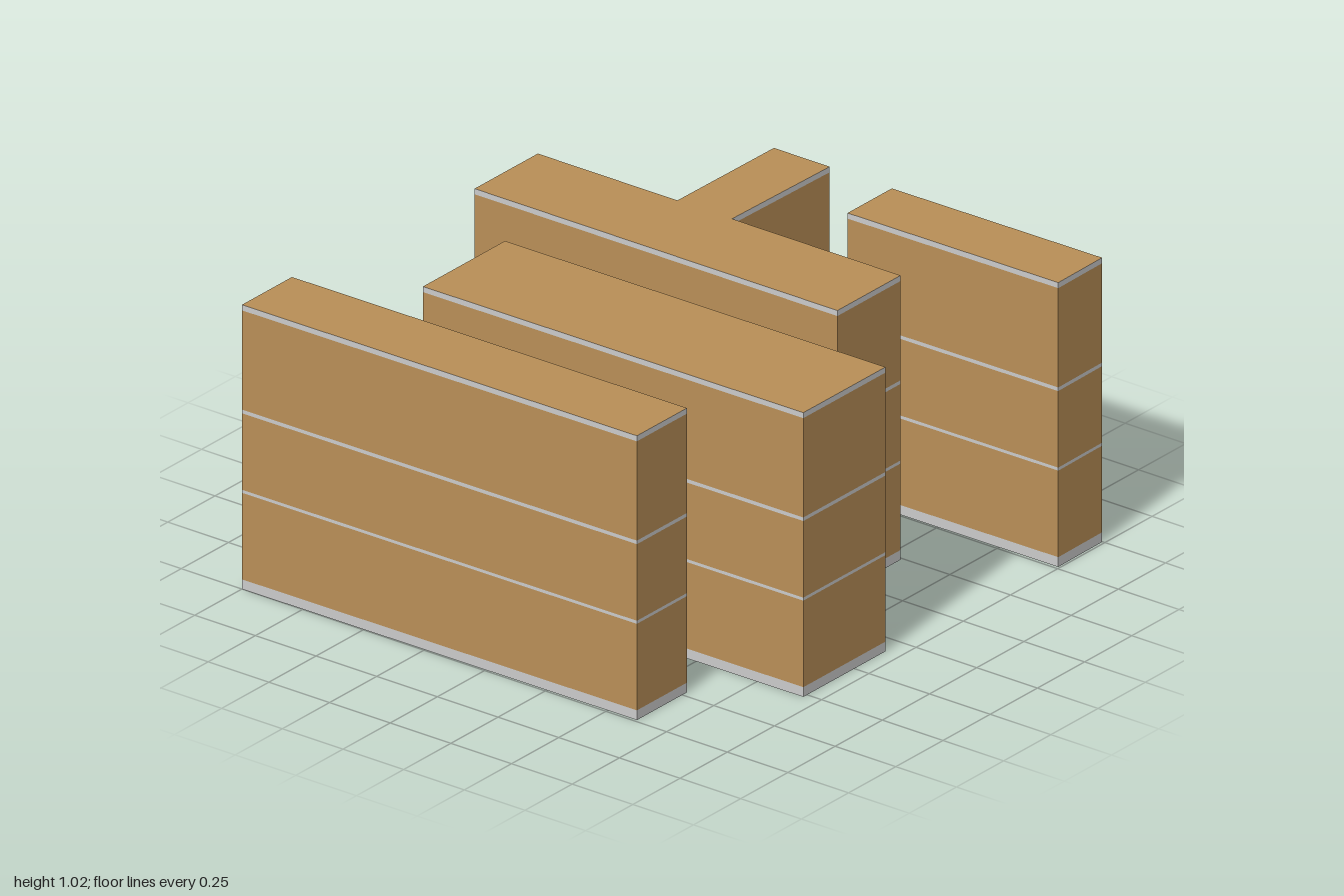
import * as THREE from 'three';

const HEIGHT = 1.025;
const brown = new THREE.MeshStandardMaterial({ color: 0xb98f57, flatShading: true });
const grey = new THREE.MeshStandardMaterial({ color: 0xcccccc, flatShading: true });

// Footprints as [x, z] corners, clockwise seen from above
const blocks = [
  { name: 'longNarrowBlock', plan: [[-1, -1], [-0.735, -1], [-0.725, 0.62], [-0.99, 0.62]] },
  { name: 'wideBlock', plan: [[-0.53, -0.62], [-0.095, -0.62], [-0.085, 0.94], [-0.52, 0.94]] },
  {
    name: 'wingedBlock',
    plan: [[0.155, -0.94], [0.49, -0.94], [0.49, -0.365], [0.995, -0.36],
      [0.995, -0.13], [0.49, -0.14], [0.49, 0.555], [0.155, 0.555]],
    noPlinthEdge: 3, // the end of the wing runs down to the ground
  },
  { name: 'shortBlock', plan: [[0.755, 0.13], [0.99, 0.13], [0.998, 0.99], [0.762, 0.993]] },
];

// Wall layers from bottom to top
const layers = [
  ['plinth', 0, 0.035, grey],
  ['lowerWalls', 0.035, 0.347, brown],
  ['lowerBand', 0.347, 0.358, grey],
  ['middleWalls', 0.358, 0.634, brown],
  ['upperBand', 0.634, 0.647, grey],
  ['upperWalls', 0.647, 1.005, brown],
  ['roofEdge', 1.005, HEIGHT, grey],
];

// Vertical strip of wall around the chosen edges of a plan
function wallStrip(plan, y0, y1, keep = () => true) {
  const positions = [];
  plan.forEach(([ax, az], i) => {
    if (!keep(i)) return;
    const [bx, bz] = plan[(i + 1) % plan.length];
    positions.push(ax, y0, az, ax, y1, az, bx, y1, bz);
    positions.push(ax, y0, az, bx, y1, bz, bx, y0, bz);
  });
  const geometry = new THREE.BufferGeometry();
  geometry.setAttribute('position', new THREE.Float32BufferAttribute(positions, 3));
  geometry.computeVertexNormals();
  return geometry;
}

// Flat roof (up = 1) or floor (up = -1)
function cap(plan, y, up) {
  const shape = new THREE.Shape(plan.map(([x, z]) => new THREE.Vector2(x, -up * z)));
  return new THREE.ShapeGeometry(shape).rotateX(-up * Math.PI / 2).translate(0, y, 0);
}

function addPart(group, name, geometry, material) {
  const mesh = new THREE.Mesh(geometry, material);
  mesh.name = name;
  group.add(mesh);
}

function createBlock({ name, plan, noPlinthEdge = -1 }) {
  const block = new THREE.Group();
  block.name = name;
  for (const [part, y0, y1, material] of layers) {
    const keep = (i) => part !== 'plinth' || i !== noPlinthEdge;
    addPart(block, part, wallStrip(plan, y0, y1, keep), material);
  }
  // Wall that replaces the plinth on one edge
  if (noPlinthEdge >= 0) {
    addPart(block, 'wingEndBase', wallStrip(plan, 0, 0.035, (i) => i === noPlinthEdge), brown);
  }
  addPart(block, 'roof', cap(plan, HEIGHT, 1), brown);
  addPart(block, 'floor', cap(plan, 0, -1), brown);
  return block;
}

export function createModel() {
  const model = new THREE.Group();
  model.name = 'buildingBlocks';
  blocks.forEach((b) => model.add(createBlock(b)));
  return model;
}
